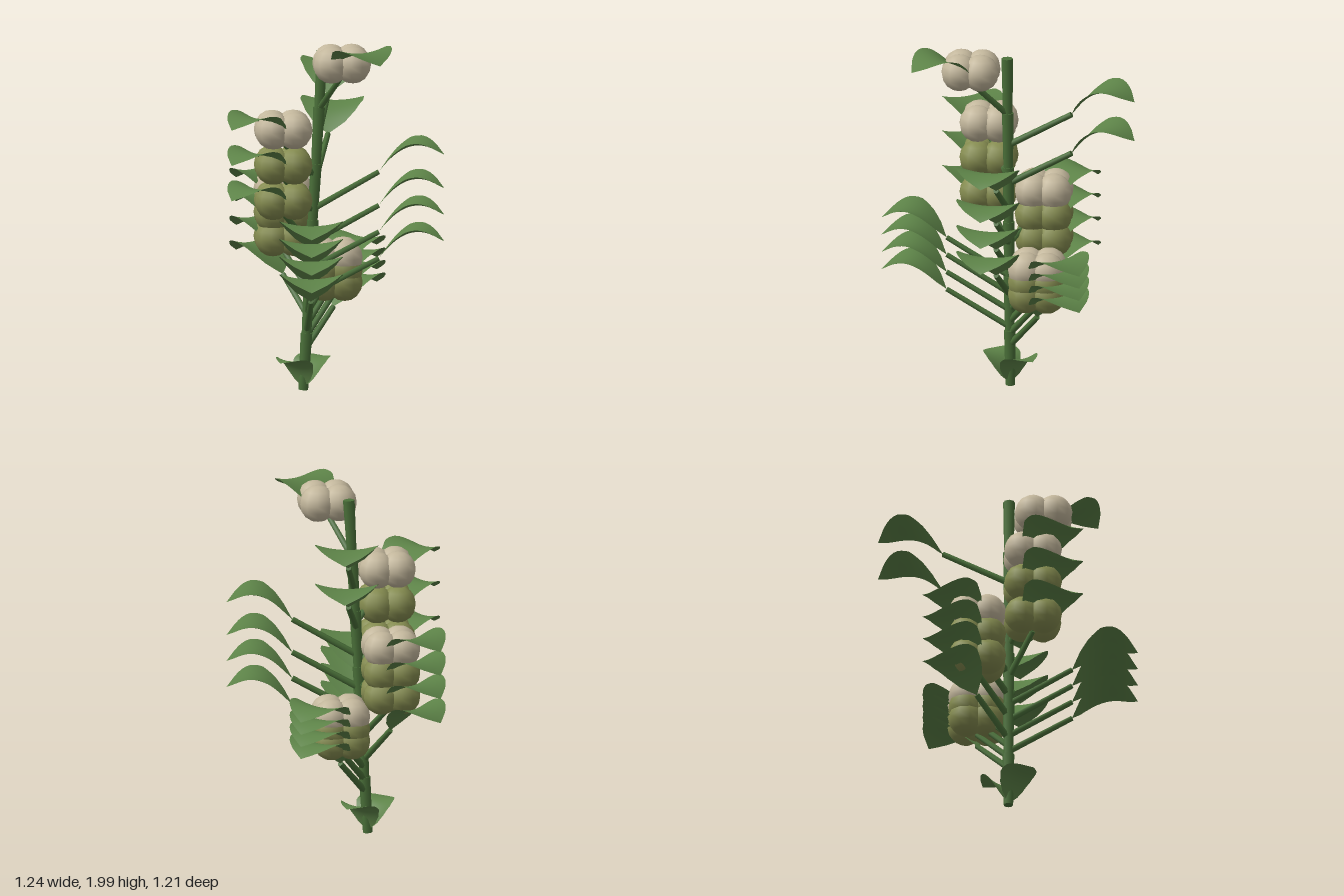
import * as THREE from 'three';

const mat = (name, color, side = THREE.FrontSide) => {
  const m = new THREE.MeshStandardMaterial({ color, side });
  m.name = name;
  return m;
};

export function createModel() {
  const root = new THREE.Group();
  root.name = 'cottonPlant';
  const stemGreen = mat('stemGreen', 0x4a7039);
  const leafGreen = mat('leafGreen', 0x5c8247, THREE.DoubleSide);
  const cream = mat('ripeCream', 0xc3b79c);
  const olive = mat('unripeOlive', 0x858c50);

  const add = (name, geo, material, parent = root) => {
    const m = new THREE.Mesh(geo, material);
    m.name = name;
    parent.add(m);
    return m;
  };

  // Tapered rod between two points
  function rod(name, a, b, rA, rB, sides) {
    const d = b.clone().sub(a);
    const m = add(name, new THREE.CylinderGeometry(rB, rA, d.length(), sides), stemGreen);
    m.position.copy(a).addScaledVector(d, 0.5);
    m.quaternion.setFromUnitVectors(new THREE.Vector3(0, 1, 0), d.normalize());
  }

  // Leaning main stem of six stacked segments
  const bottom = new THREE.Vector3(-0.07, 0.01, -0.04);
  const top = new THREE.Vector3(0.0, 1.93, 0.04);
  const stemAt = (y) => bottom.clone().lerp(top, (y - 0.01) / 1.92);
  for (let i = 0; i < 6; i++) {
    rod('stemSegment', stemAt(0.01 + i * 0.32), stemAt(0.01 + (i + 1) * 0.32), 0.027, 0.033, 8);
  }

  // Arched, slightly cupped leaf running along +z from its root
  const widths = [[0, 0], [0.12, 0.09], [0.25, 0.14], [0.45, 0.18], [0.65, 0.172], [0.78, 0.14], [0.88, 0.09], [1, 0]];
  const leafGeo = new THREE.PlaneGeometry(1, 1, 8, 16);
  const p = leafGeo.attributes.position;
  for (let i = 0; i < p.count; i++) {
    const u = p.getX(i) * 2;
    const t = p.getY(i) + 0.5;
    let k = 0;
    while (k < widths.length - 2 && t > widths[k + 1][0]) k++;
    const [t0, w0] = widths[k];
    const [t1, w1] = widths[k + 1];
    const x = -u * (w0 + (w1 - w0) * (t - t0) / (t1 - t0));
    p.setXYZ(i, x, 0.505 * t - 0.405 * t * t + 0.9 * x * x, t * 0.37);
  }
  leafGeo.computeVertexNormals();

  function leaf(name, at, dx, dz, scale = 1, tilt = 0) {
    const m = add(name, leafGeo, leafGreen);
    m.position.copy(at);
    m.rotation.set(-tilt, Math.atan2(dx, dz), 0, 'YXZ');
    m.scale.setScalar(scale);
  }

  // Four-lobed boll
  const lobeGeo = new THREE.SphereGeometry(0.104, 10, 8);
  function boll(at, ripe) {
    const g = new THREE.Group();
    g.name = ripe ? 'ripeBoll' : 'unripeBoll';
    g.position.copy(at);
    for (let i = 0; i < 4; i++) {
      const a = i * Math.PI / 2;
      add('lobe', lobeGeo, ripe ? cream : olive, g)
        .position.set(Math.cos(a) * 0.084, 0, Math.sin(a) * 0.084);
    }
    root.add(g);
  }

  // Branch columns: end point, leaf direction, end heights, number of bolls from the top
  const columns = [
    { x: -0.07, z: 0.245, dir: [-0.085, 0.36], ys: [1.81], bolls: 1 },
    { x: -0.25, z: -0.033, dir: [-0.36, -0.065], ys: [1.43, 1.23, 1.03], bolls: 3 },
    { x: -0.015, z: -0.24, dir: [0.025, -0.365], ys: [1.05, 0.915, 0.78, 0.64], bolls: 3 },
    { x: 0.178, z: -0.033, dir: [0.37, 0], ys: [0.665, 0.595, 0.525, 0.455], bolls: 3 },
    { x: 0.3, z: -0.18, dir: [0.31, -0.205], ys: [1.63, 1.405], bolls: 0 },
    { x: 0.2, z: 0.285, dir: [0.225, 0.3], ys: [1.245, 1.055, 0.905, 0.755], bolls: 0 },
    { x: -0.31, z: 0.225, dir: [-0.28, 0.25], ys: [0.86, 0.76, 0.66, 0.56], bolls: 0 },
  ];
  for (const c of columns) {
    c.ys.forEach((y, i) => {
      const end = new THREE.Vector3(c.x, y, c.z);
      rod('branch', stemAt(y - 0.21), end, 0.019, 0.016, 6);
      leaf('leaf', end, ...c.dir);
      if (i < c.bolls) boll(new THREE.Vector3(c.x, y + 0.073, c.z), i === 0);
    });
  }

  // Pair of small seed leaves at the foot
  for (const s of [-1, 1]) leaf('seedLeaf', stemAt(0.02), s, 0, 0.66, 0.42);

  return root;
}
